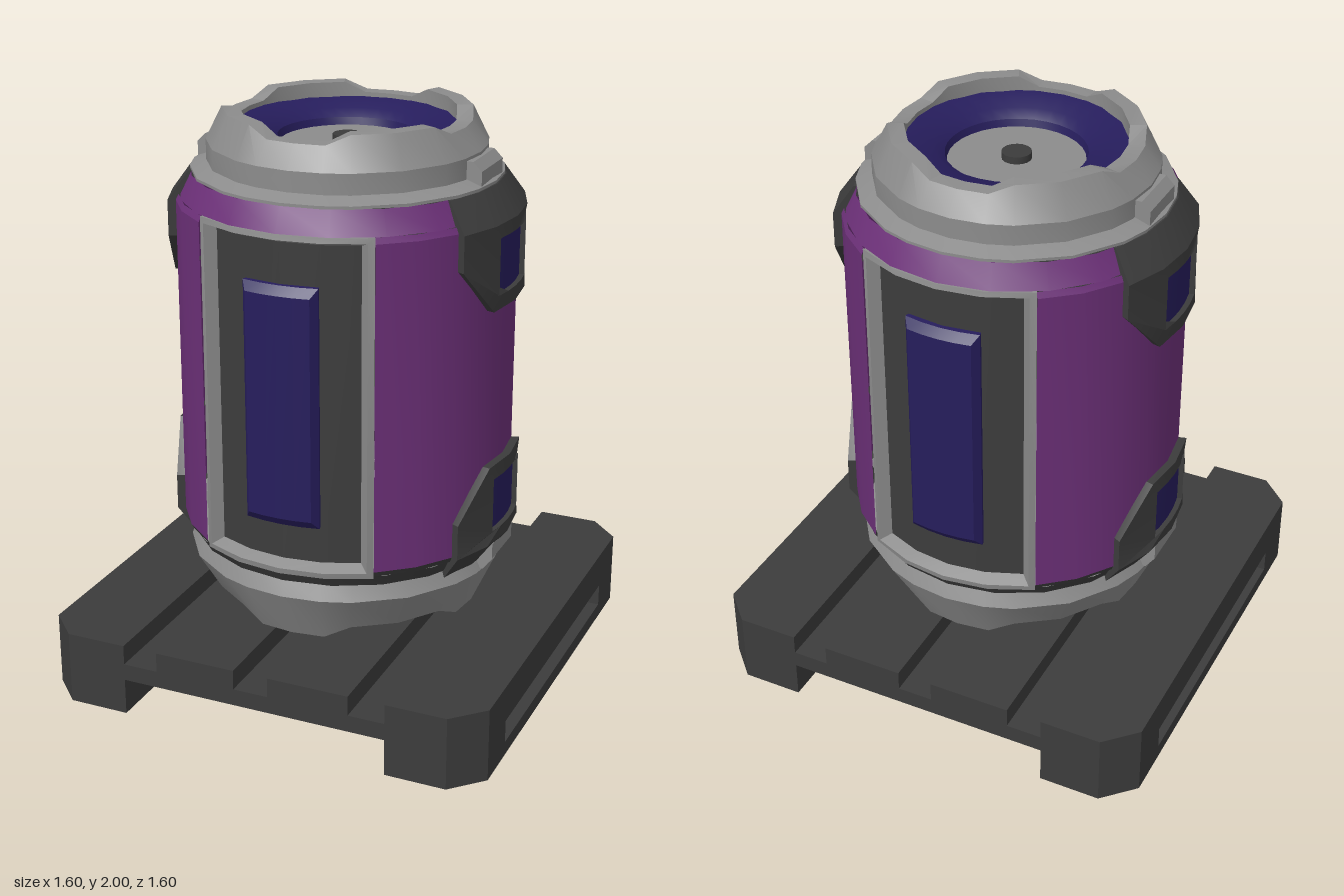
import * as THREE from 'three';
import { toCreasedNormals } from 'three/addons/utils/BufferGeometryUtils.js';

const DEG = Math.PI / 180;
const paint = (color) => new THREE.MeshStandardMaterial({ color, side: THREE.DoubleSide });
const GREY = paint(0x8c8c8c), DARK = paint(0x3c3c3c), PURPLE = paint(0x6c3078), BLUE = paint(0x261d5c);

function add(parent, name, geometry, material) {
  const mesh = new THREE.Mesh(toCreasedNormals(geometry, 0.45), material);
  mesh.name = name;
  parent.add(mesh);
  return mesh;
}

const lathe = (points, segments = 20, start = 0, sweep = 360) =>
  new THREE.LatheGeometry(points.map((p) => new THREE.Vector2(...p)), segments, start * DEG, sweep * DEG);

// Lathe whose columns sit on the corners of a four-fold scalloped edge;
// edge(y, raised) gives the new height of each vertex.
function scalloped(points, edge) {
  const quarter = [-14, 0, 14, 25, 45, 65];
  const geo = lathe(points, 24);
  const pos = geo.attributes.position;
  for (let i = 0; i < pos.count; i++) {
    const column = Math.floor(i / points.length);
    const local = quarter[column % 6];
    const angle = (local + 90 * Math.floor(column / 6)) * DEG;
    const [r, y] = points[i % points.length];
    pos.setXYZ(i, r * Math.sin(angle), edge(y, local > 14), r * Math.cos(angle));
  }
  return geo;
}

// Plate wrapped round the barrel, facing +z, made of nested loops.
// Loop: half angle, bottom, top, radius at bottom, radius at top, corner cut.
function wrapped(loops, filled = true) {
  const f = [-1, -0.5, 0, 0.5, 1], n = f.length, verts = [], index = [];
  for (const { half, y0, y1, r, rTop = r, cut = 0 } of loops) {
    const put = (t, y, rad) =>
      verts.push(rad * Math.sin(t * half * DEG), y, rad * Math.cos(t * half * DEG));
    f.forEach((t) => put(t, Math.abs(t) === 1 ? y0 + cut : y0, r));
    f.forEach((t) => put(-t, y1, rTop));
  }
  const m = 2 * n, last = (loops.length - 1) * m;
  for (let l = 0; l < last; l += m)
    for (let i = 0; i < m; i++) {
      const a = l + i, b = l + (i + 1) % m;
      index.push(a, b, b + m, a, b + m, a + m);
    }
  if (filled)
    for (let i = 0; i < n - 1; i++) {
      const a = last + i, d = last + m - 1 - i;
      index.push(a, a + 1, d - 1, a, d - 1, d);
    }
  const geo = new THREE.BufferGeometry();
  geo.setAttribute('position', new THREE.Float32BufferAttribute(verts, 3));
  geo.setIndex(index);
  return geo;
}

const rectPath = (Type, w, y0, y1) => new Type(
  [[-w, y0], [w, y0], [w, y1], [-w, y1]].map((p) => new THREE.Vector2(...p)));

// Slotted runner along z with chamfered outer corners
function runnerGeometry() {
  const side = rectPath(THREE.Shape, 0.8, 0, 0.26);
  side.holes.push(rectPath(THREE.Path, 0.53, 0.05, 0.13));
  const geo = new THREE.ExtrudeGeometry(side, { depth: 0.32, steps: 2, bevelEnabled: false });
  const pos = geo.attributes.position;
  for (let i = 0; i < pos.count; i++) {
    const depth = pos.getZ(i);
    if (depth > 0.3 && Math.abs(pos.getX(i)) > 0.7) pos.setX(i, Math.sign(pos.getX(i)) * 0.695);
    pos.setZ(i, depth < 0.1 ? 0.48 : depth < 0.3 ? 0.695 : 0.8);
  }
  return geo.rotateY(Math.PI / 2);
}

function buildPallet() {
  const pallet = new THREE.Group();
  pallet.name = 'pallet';
  for (const turn of [0, Math.PI])
    add(pallet, 'runner', runnerGeometry(), DARK).rotation.y = turn;
  add(pallet, 'deck', new THREE.BoxGeometry(0.96, 0.06, 1.6), DARK).position.y = 0.16;
  for (const x of [-0.209, 0.206])
    add(pallet, 'plank', new THREE.BoxGeometry(0.29, 0.07, 1.6), DARK).position.set(x, 0.225, 0);
  return pallet;
}

// Framed recess with a bevelled light bar
function buildDoor() {
  const door = new THREE.Group();
  door.name = 'door';
  add(door, 'doorFrame', wrapped([
    { half: 32.3, y0: 0.53, y1: 1.71, r: 0.565 },
    { half: 32.3, y0: 0.53, y1: 1.71, r: 0.575 },
    { half: 30, y0: 0.55, y1: 1.692, r: 0.578 },
    { half: 28.5, y0: 0.57, y1: 1.675, r: 0.535 },
  ], false), GREY);
  add(door, 'doorPanel', wrapped([{ half: 28.6, y0: 0.568, y1: 1.677, r: 0.535 }]), DARK);
  add(door, 'lightBar', wrapped([
    { half: 14, y0: 0.7, y1: 1.535, r: 0.53 },
    { half: 14, y0: 0.7, y1: 1.535, r: 0.55 },
    { half: 11.5, y0: 0.73, y1: 1.505, r: 0.572 },
  ]), BLUE);
  return door;
}

// Shoulder pad with a sunken square window
function buildPad() {
  const pad = new THREE.Group();
  pad.name = 'sidePad';
  const outline = { half: 29, y0: 1.4, y1: 1.69, cut: 0.165 };
  const hole = { half: 11.8, y0: 1.45, y1: 1.645 };
  add(pad, 'padPlate', wrapped([
    { ...outline, r: 0.56 }, { ...outline, r: 0.608 }, { ...hole, r: 0.608 }, { ...hole, r: 0.588 },
  ], false), DARK);
  const shoulder = { half: 29, y0: 1.69, y1: 1.79 };
  add(pad, 'padShoulder', wrapped([
    { ...shoulder, r: 0.56, rTop: 0.5 }, { ...shoulder, r: 0.608, rTop: 0.535 },
  ]), DARK);
  add(pad, 'padWindow', wrapped([{ ...hole, r: 0.59 }]), BLUE);
  return pad;
}

// Latch from an x-y profile, centred on z
function latchGeometry(points) {
  const shape = new THREE.Shape(points.map((p) => new THREE.Vector2(...p)));
  return new THREE.ExtrudeGeometry(shape, { depth: 0.2, bevelEnabled: false }).translate(0, 0, -0.1);
}

function buildBarrel() {
  const barrel = new THREE.Group();
  barrel.name = 'barrel';

  // Shell: full bands above and below, curved walls between the doors
  add(barrel, 'upperShell', lathe([[0.57, 1.71], [0.53, 1.79]]), PURPLE);
  add(barrel, 'lowerBand', lathe([[0.545, 0.49], [0.57, 0.535]]), DARK);
  for (const start of [32.3, 212.3]) {
    add(barrel, 'sideShell', lathe([[0.58, 0.555], [0.58, 1.69], [0.57, 1.71]], 8, start, 115.4), PURPLE);
    add(barrel, 'sideBand', lathe([[0.57, 0.535], [0.58, 0.555]], 8, start, 115.4), DARK);
  }

  // Scalloped foot and crown
  add(barrel, 'foot', scalloped(
    [[0, 0.3], [0.4, 0.3], [0.41, 0.26], [0.48, 0.26], [0.56, 0.435], [0.535, 0.49], [0.5, 0.495]],
    (y, raised) => (y < 0.28 && raised ? 0.3 : y)), GREY);
  add(barrel, 'crown', scalloped(
    [[0.53, 1.79], [0.53, 1.8], [0.475, 1.82], [0.475, 1.89], [0.42, 2], [0.365, 2], [0.365, 1.93]],
    (y, raised) => (y > 1.99 && !raised ? 1.965 : y)), GREY);

  // Lid inside the crown
  add(barrel, 'lidRing', lathe([[0.368, 1.95], [0.27, 1.93], [0.235, 1.905], [0.225, 1.87]], 32), BLUE);
  add(barrel, 'lidDisc', new THREE.CylinderGeometry(0.23, 0.23, 0.04, 32), GREY).position.y = 1.86;
  add(barrel, 'lidKnob', new THREE.CylinderGeometry(0.05, 0.05, 0.03, 16), DARK).position.y = 1.89;

  // Doors front and back
  for (const turn of [0, Math.PI]) {
    const door = buildDoor();
    door.rotation.y = turn;
    barrel.add(door);
  }

  // Pads and latches on both sides
  for (const turn of [0, Math.PI]) {
    const side = new THREE.Group();
    side.name = 'sideFittings';
    const upper = buildPad(), lower = buildPad();
    lower.rotation.z = Math.PI;
    lower.position.y = 2.245;
    const pads = new THREE.Group();
    pads.name = 'sidePads';
    pads.rotation.y = Math.PI / 2;
    pads.add(upper, lower);
    side.add(pads);
    add(side, 'upperLatch', latchGeometry(
      [[0.44, 1.79], [0.515, 1.79], [0.515, 1.85], [0.485, 1.88], [0.44, 1.88]]), GREY);
    add(side, 'lowerLatch', latchGeometry(
      [[0.5, 0.44], [0.555, 0.44], [0.588, 0.485], [0.588, 0.54], [0.5, 0.54]]), GREY);
    side.rotation.y = turn;
    barrel.add(side);
  }
  return barrel;
}

export function createModel() {
  const model = new THREE.Group();
  model.name = 'barrelOnPallet';
  model.add(buildPallet(), buildBarrel());
  return model;
}
